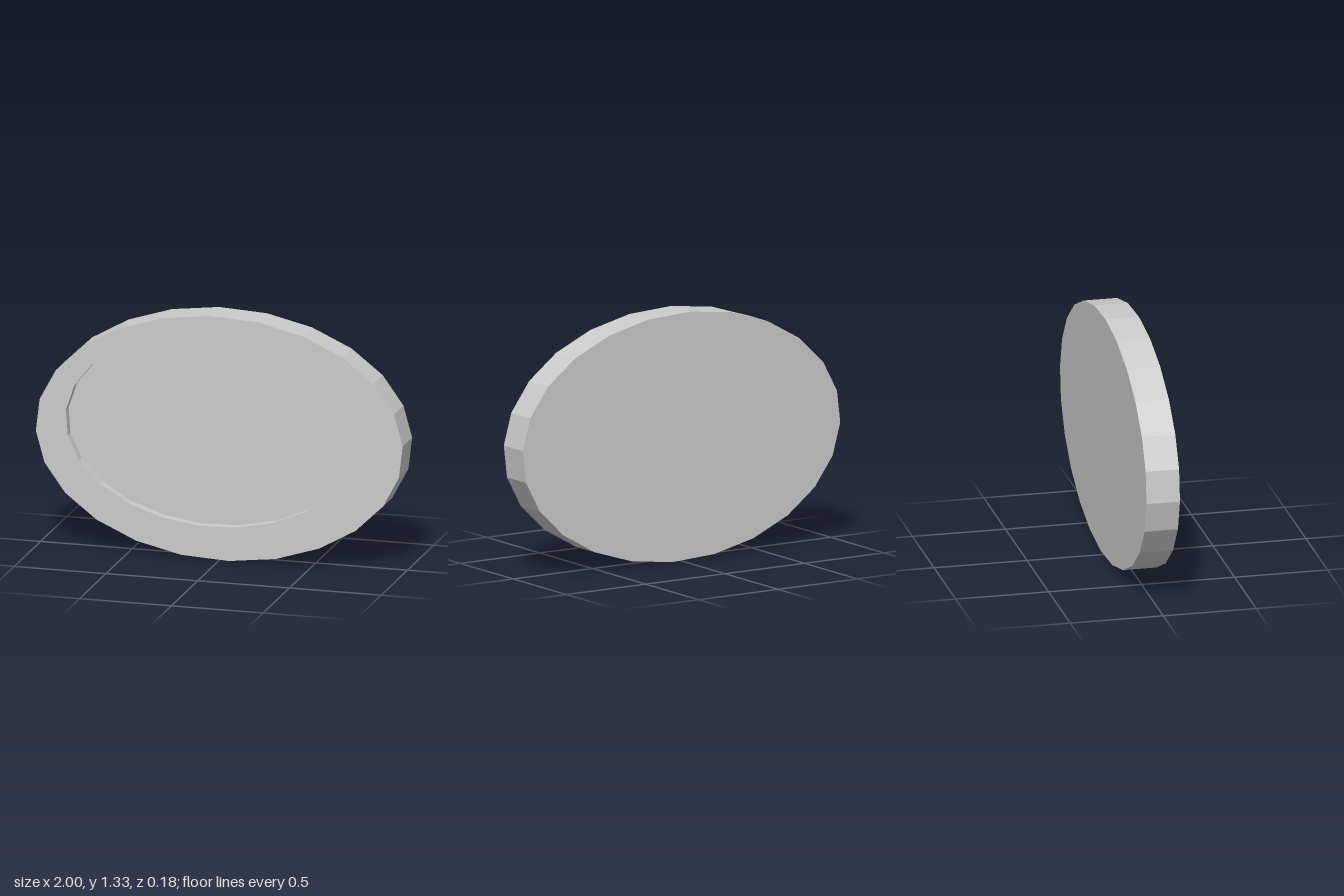
import * as THREE from 'three';

const SIDES = 24, FRONT = 0.09, FLOOR = 0.04, BACK = -0.09;

// 24-sided ellipse, counter-clockwise as seen from the front
function ellipse(cx, cy, rx, ry, startDeg) {
  return Array.from({ length: SIDES }, (_, i) => {
    const a = THREE.MathUtils.degToRad(startDeg) + (i / SIDES) * Math.PI * 2;
    return new THREE.Vector2(cx + rx * Math.cos(a), cy + ry * Math.sin(a));
  });
}

// Faceted wall along a loop; faces outward when zNear > zFar, inward otherwise
function wall(loop, zNear, zFar) {
  const pos = [];
  loop.forEach((p, i) => {
    const q = loop[(i + 1) % loop.length];
    pos.push(p.x, p.y, zFar, q.x, q.y, zFar, q.x, q.y, zNear);
    pos.push(p.x, p.y, zFar, q.x, q.y, zNear, p.x, p.y, zNear);
  });
  const geo = new THREE.BufferGeometry();
  geo.setAttribute('position', new THREE.Float32BufferAttribute(pos, 3));
  geo.computeVertexNormals();
  return geo;
}

export function createModel() {
  const group = new THREE.Group();
  group.name = 'ovalTray';
  const material = new THREE.MeshStandardMaterial({ color: 0xcccccc, flatShading: true });
  const add = (name, geo) => {
    const mesh = new THREE.Mesh(geo, material);
    mesh.name = name;
    group.add(mesh);
    return mesh;
  };

  const outer = ellipse(0, 0.665, 1.001, 0.664, 3);
  const inner = ellipse(-0.04, 0.71, 0.798, 0.531, -5);

  // Flat border around the off-centre recess
  const border = new THREE.Shape(outer);
  border.holes.push(new THREE.Path(inner));
  add('rimFace', new THREE.ShapeGeometry(border)).position.z = FRONT;

  // Shallow recess
  add('recessFloor', new THREE.ShapeGeometry(new THREE.Shape(inner))).position.z = FLOOR;
  add('recessWall', wall(inner, FLOOR, FRONT));

  // Outer edge and plain back, turned to face -z
  add('outerEdge', wall(outer, FRONT, BACK));
  const mirrored = outer.map((p) => new THREE.Vector2(-p.x, p.y));
  const back = add('backFace', new THREE.ShapeGeometry(new THREE.Shape(mirrored)));
  back.rotation.y = Math.PI;
  back.position.z = BACK;

  return group;
}
